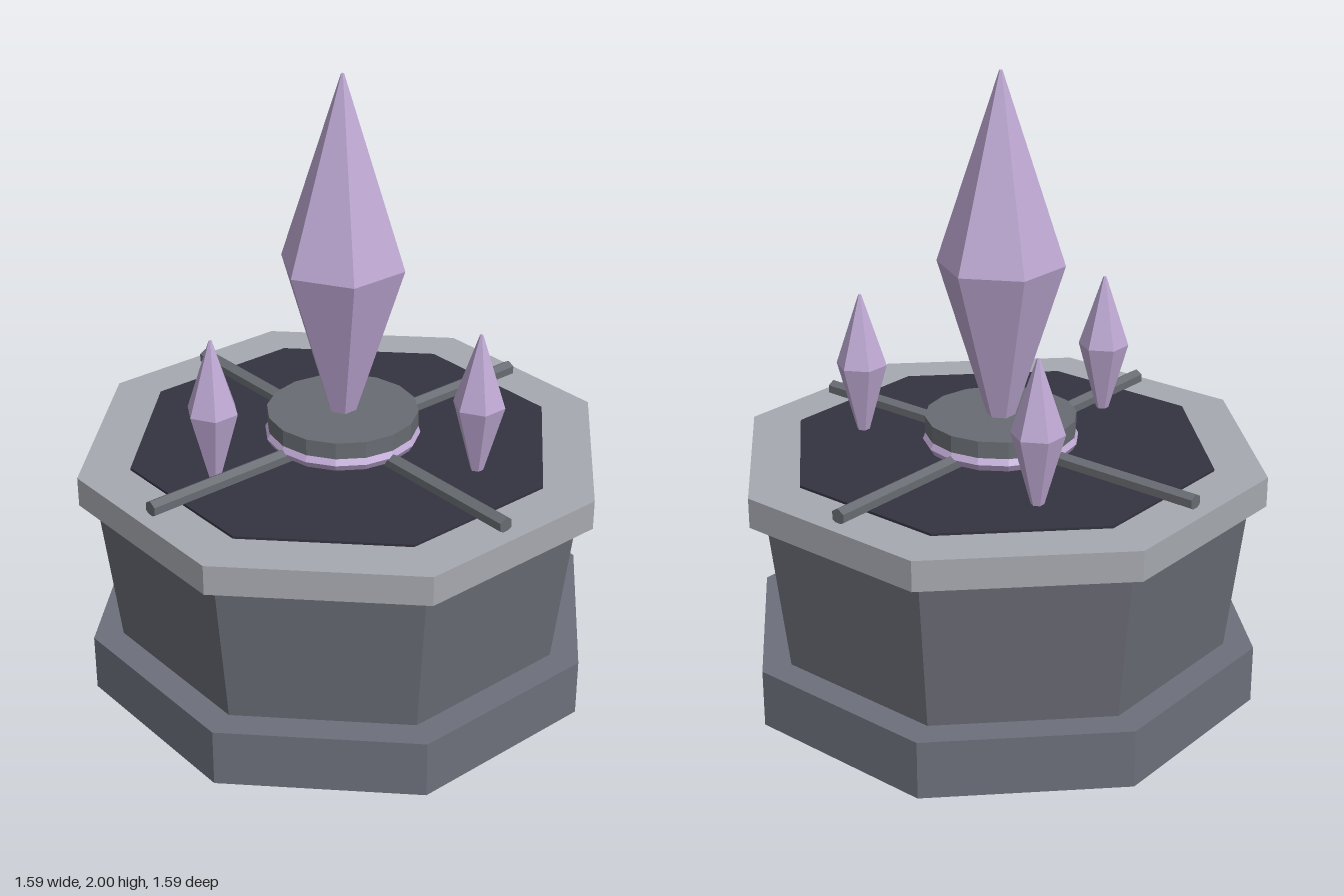
import * as THREE from 'three';

const mat = (name, color) => {
  const m = new THREE.MeshStandardMaterial({ color, flatShading: true });
  m.name = name;
  return m;
};

export function createModel() {
  const group = new THREE.Group();
  const baseStone = mat('base stone', 0x6d707b);
  const bodyStone = mat('body stone', 0x6b6d76);
  const rimStone = mat('pale rim stone', 0xa6a9b0);
  const darkInlay = mat('dark inlay', 0x343340);
  const metal = mat('grey metal', 0x686c72);
  const crystalMat = mat('lilac crystal', 0xbfa9d4);

  const add = (name, geometry, material, parent = group) => {
    const mesh = new THREE.Mesh(geometry, material);
    mesh.name = name;
    parent.add(mesh);
    return mesh;
  };

  // Octagonal slab with flat sides to the front; sizes are centre-to-side distances
  const octagon = (name, bottom, top, y0, y1, material) => {
    const k = 1 / Math.cos(Math.PI / 8);
    const g = new THREE.CylinderGeometry(top * k, bottom * k, y1 - y0, 8);
    g.rotateY(Math.PI / 8).translate(0, (y0 + y1) / 2, 0);
    add(name, g, material);
  };
  octagon('base', 0.78, 0.78, 0, 0.19, baseStone);
  octagon('body', 0.69, 0.745, 0.19, 0.695, bodyStone);
  octagon('rim', 0.795, 0.795, 0.69, 0.787, rimStone);
  octagon('inlay', 0.64, 0.64, 0.78, 0.795, darkInlay);

  // Four rods radiating from the socket
  for (let i = 0; i < 4; i++) {
    const g = new THREE.CylinderGeometry(0.026, 0.026, 0.6, 6);
    g.rotateX(Math.PI / 2).translate(0, 0.807, 0.447);
    add('rod', g, metal).rotation.y = i * Math.PI / 2;
  }

  // Socket disc with a glowing band around its foot
  add('socket', new THREE.CylinderGeometry(0.243, 0.243, 0.055, 16).translate(0, 0.8725, 0), metal);
  add('socketBand', new THREE.TorusGeometry(0.224, 0.026, 6, 16).rotateX(Math.PI / 2).translate(0, 0.824, 0), crystalMat);

  // Six-sided crystal: tapered foot below, pointed top above
  const crystal = (name, x, z, r, foot, y0, yMid, y1) => {
    const c = new THREE.Group();
    c.name = name;
    c.position.set(x, 0, z);
    const lower = new THREE.CylinderGeometry(r, foot, yMid - y0, 6, 1, true);
    const upper = new THREE.CylinderGeometry(0.005, r, y1 - yMid, 6, 1, true);
    add('crystalFoot', lower.translate(0, (y0 + yMid) / 2, 0), crystalMat, c);
    add('crystalPoint', upper.translate(0, (yMid + y1) / 2, 0), crystalMat, c);
    const tip = new THREE.CircleGeometry(0.005, 6).rotateX(-Math.PI / 2).rotateY(Math.PI / 6);
    add('crystalTip', tip.translate(0, y1, 0), crystalMat, c);
    group.add(c);
  };
  crystal('mainCrystal', 0, 0, 0.203, 0.04, 0.88, 1.4, 2);
  for (const [x, z] of [[0.43, -0.185], [-0.375, -0.285], [-0.06, 0.465]]) {
    crystal('smallCrystal', x, z, 0.083, 0.018, 0.785, 1.02, 1.255);
  }

  return group;
}
